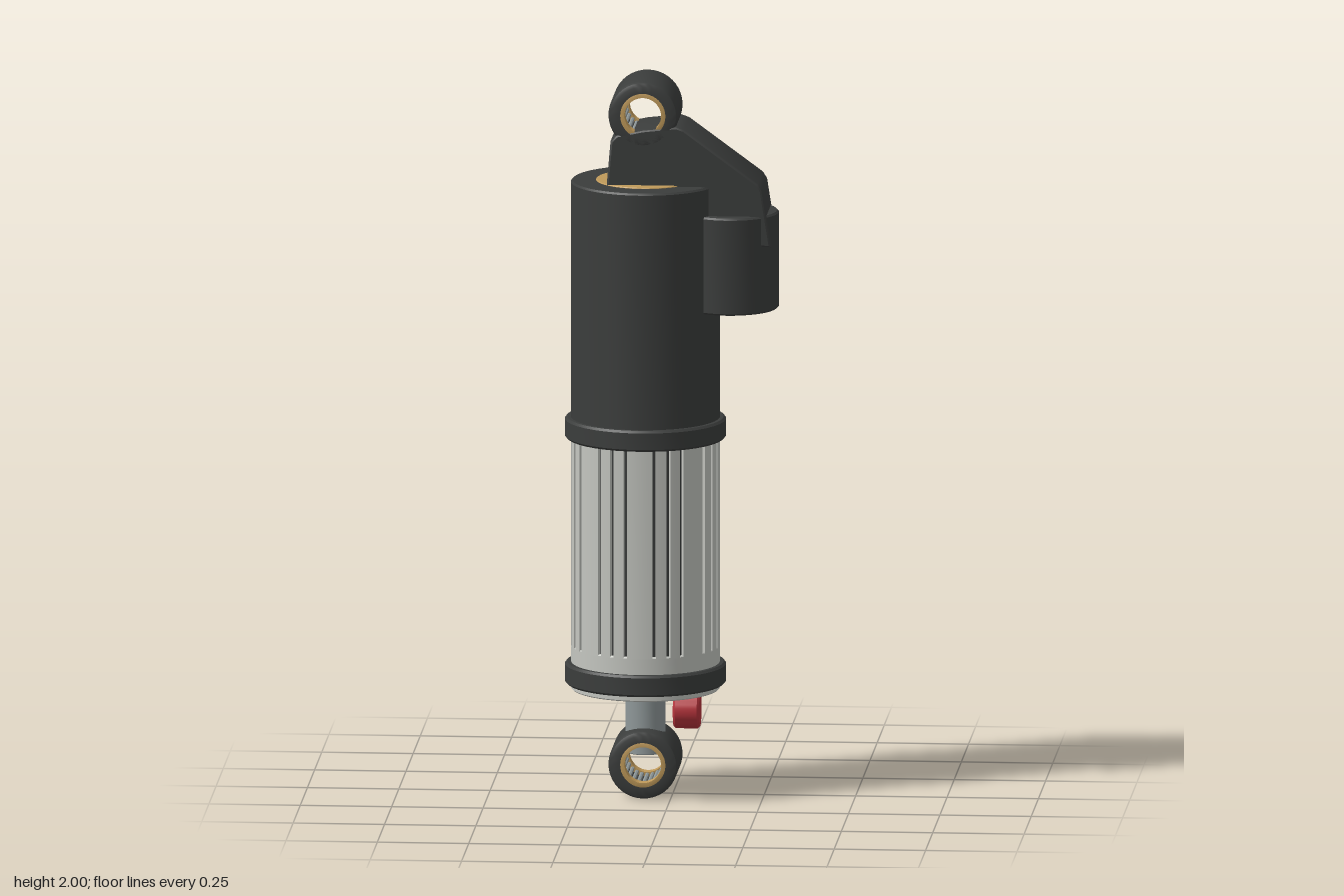
import * as THREE from 'three';
import { toCreasedNormals } from 'three/addons/utils/BufferGeometryUtils.js';

const AXIS = -0.075; // x of the main damper axis
const mat = (color) => new THREE.MeshStandardMaterial({ color });

export function createModel() {
  const model = new THREE.Group();
  model.name = 'shockAbsorber';
  const dark = mat(0x3b3d3c), silver = mat(0xc4c6c0), steel = mat(0x8f9899);
  const gold = mat(0xc09a5a), red = mat(0xb8343c);

  const add = (name, geometry, material, x = 0, y = 0, z = 0, parent = model) => {
    const mesh = new THREE.Mesh(toCreasedNormals(geometry, 0.5), material);
    mesh.name = name;
    mesh.position.set(x, y, z);
    parent.add(mesh);
    return mesh;
  };
  const lathe = (pts, seg = 40) =>
    new THREE.LatheGeometry(pts.map(([r, y]) => new THREE.Vector2(r, y)), seg);
  // Solid cylinder with chamfered rims, from y0 to y1
  const drum = (r, y0, y1, b = 0.005, seg = 40) =>
    lathe([[0, y0], [r - b, y0], [r, y0 + b], [r, y1 - b], [r - b, y1], [0, y1]], seg);
  // Hollow ring along z, centred on the origin
  const ring = (ri, ro, half, b) => lathe([
    [ri, -half], [ro - b, -half], [ro - b * 0.3, -half + b * 0.3], [ro, -half + b],
    [ro, half - b], [ro - b * 0.3, half - b * 0.3], [ro - b, half], [ri, half], [ri, -half],
  ]).rotateX(Math.PI / 2);

  // Upper can, its gold cap and the two collars
  add('upperBody', drum(0.204, 1.0, 1.71), dark, AXIS);
  add('topCap', drum(0.135, 1.69, 1.713, 0.002), gold, AXIS);
  add('middleCollar', drum(0.22, 0.995, 1.053, 0.006), dark, AXIS);
  add('lowerCollar', drum(0.22, 0.313, 0.372, 0.006), dark, AXIS);

  // Lower sleeve: plain foot, then grooves in groups of three
  add('sleeveFoot', drum(0.203, 0.297, 0.42, 0.003, 64), silver, AXIS);
  const R = 0.203, depth = 0.188, halfGroove = 0.026, step = Math.PI / 16;
  const section = new THREE.Shape();
  const point = (r, a) => {
    const x = r * Math.cos(a), y = r * Math.sin(a);
    if (section.curves.length === 0 && section.currentPoint.lengthSq() === 0) section.moveTo(x, y);
    else section.lineTo(x, y);
  };
  for (let i = 0; i < 32; i++) {
    const a = i * step;
    if (i % 4 === 0) {
      point(R, a);
    } else {
      point(R, a - halfGroove);
      point(depth, a - halfGroove);
      point(depth, a + halfGroove);
      point(R, a + halfGroove);
    }
    point(R, a + step / 2);
  }
  section.closePath();
  const sleeve = new THREE.ExtrudeGeometry(section, { depth: 0.6, bevelEnabled: false });
  add('groovedSleeve', sleeve.rotateX(-Math.PI / 2), silver, AXIS, 0.415);
  add('sleeveCore', drum(0.192, 0.4, 1.02), dark, AXIS);

  // Piston rod and adjuster knob
  add('pistonRod', drum(0.055, 0.12, 0.31, 0.002, 32), steel, AXIS);
  add('adjusterKnob', drum(0.053, -0.036, 0.036, 0.006, 32).rotateZ(-Math.PI / 2), red, 0.039, 0.24);

  // Reservoir beside the can
  add('reservoir', drum(0.133, 1.36, 1.63), dark, 0.157);

  // Bracket joining the upper eye, the can and the reservoir
  const profile = [[-0.17, 1.695], [-0.158, 1.83], [-0.145, 1.845], [-0.075, 1.86], [0.015, 1.87],
    [0.035, 1.863], [0.235, 1.716], [0.245, 1.7], [0.269, 1.55], [0.095, 1.55], [0.09, 1.695]];
  const bracket = new THREE.ExtrudeGeometry(
    new THREE.Shape(profile.map(([x, y]) => new THREE.Vector2(x, y))),
    { depth: 0.176, bevelThickness: 0.008, bevelSize: 0.006, bevelSegments: 2 });
  add('bracket', bracket.translate(0, 0, -0.088), dark);

  // Mounting eyes with gold bushes and a row of needle rollers inside
  for (const [name, y] of [['upperEye', 1.905], ['lowerEye', 0.1]]) {
    const eye = new THREE.Group();
    eye.name = name;
    eye.position.set(AXIS, y, 0);
    model.add(eye);
    add('eyeHousing', ring(0.062, 0.095, 0.096, 0.014), dark, 0, 0, 0, eye);
    for (const s of [-1, 1]) add('bush', ring(0.05, 0.064, 0.016, 0.001), gold, 0, 0, s * 0.078, eye);
    for (let i = 0; i < 24; i++) {
      const a = (i / 24) * Math.PI * 2;
      const roller = new THREE.CylinderGeometry(0.006, 0.006, 0.13, 8).rotateX(Math.PI / 2);
      add('needleRoller', roller, steel, 0.057 * Math.cos(a), 0.057 * Math.sin(a), 0, eye);
    }
  }
  return model;
}
